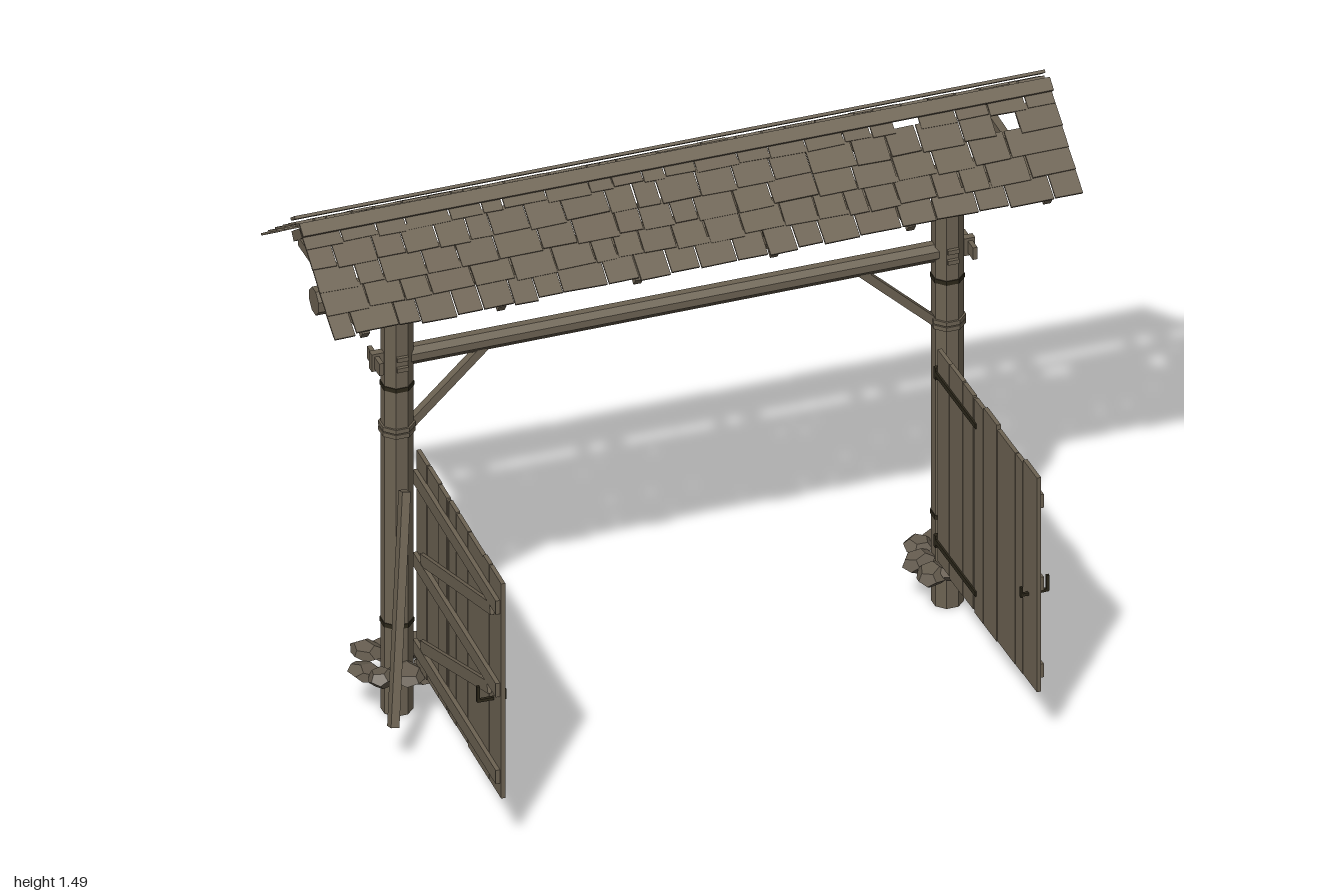
import * as THREE from 'three';
import { mergeGeometries } from 'three/addons/utils/BufferGeometryUtils.js';

export function createModel() {
  const model = new THREE.Group();
  model.name = 'timberGate';
  const mat = (name, color) => Object.assign(new THREE.MeshStandardMaterial({ color, flatShading: true }), { name });
  const wood = mat('weatheredWood', 0x6c6252);
  const stone = mat('stone', 0x645b4e);
  const iron = mat('darkIron', 0x2b2619);

  let seed = 7;
  const rnd = (a = 0, b = 1) => {
    seed = (seed * 16807) % 2147483647;
    return a + (b - a) * seed / 2147483647;
  };
  const V = (x, y, z) => new THREE.Vector3(x, y, z);
  const add = (parent, name, geos, material) => {
    const list = [].concat(geos).map(g => (g.index ? g.toNonIndexed() : g));
    const m = new THREE.Mesh(list.length > 1 ? mergeGeometries(list) : list[0], material);
    m.name = name;
    parent.add(m);
    return m;
  };
  const box = (w, h, d, x, y, z) => new THREE.BoxGeometry(w, h, d).translate(x, y, z);
  // Straight timber from a to b
  const bar = (a, b, w, h, up = V(0, 1, 0)) => {
    const q = new THREE.Matrix4().lookAt(b, a, up);
    const mid = a.clone().add(b).multiplyScalar(0.5);
    return new THREE.BoxGeometry(w, h, a.distanceTo(b)).applyMatrix4(q).translate(mid.x, mid.y, mid.z);
  };
  const log = (r, len) => new THREE.CylinderGeometry(r, r, len, 8).rotateY(Math.PI / 8);
  const Z = -0.22;

  // Long beams
  add(model, 'topBeam', log(0.037, 1.9).rotateZ(Math.PI / 2).translate(0, 1.243, Z), wood);
  add(model, 'crossBeam', [
    log(0.026, 1.44).rotateZ(Math.PI / 2).translate(0, 1.035, Z),
    box(1.6, 0.05, 0.02, 0, 1.033, Z),
  ], wood);

  for (const s of [1, -1]) {
    const side = new THREE.Group();
    side.name = s > 0 ? 'leftSide' : 'rightSide';
    model.add(side);
    const x = s * 0.73;

    // Post with bands, rope collar, wedge and brace
    add(side, 'post', log(0.041, 1.21).translate(x, 0.605, Z), wood);
    add(side, 'postBands', [0.957, 0.262].map(y => log(0.0435, 0.012).translate(x, y, Z)), iron);
    add(side, 'collar', [0.823, 0.838].map(y => log(0.0465, 0.012).translate(x, y, Z)), wood);
    add(side, 'wedges', [
      box(0.012, 0.035, 0.09, s * 0.787, 1.033, Z),
      box(0.03, 0.012, 0.094, x, 1.05, Z), box(0.03, 0.012, 0.094, x, 1.02, Z),
    ], wood);
    add(side, 'brace', bar(V(s * 0.695, 0.83, Z), V(s * 0.50, 1.015, Z), 0.022, 0.022, V(0, 0, 1)), wood);

    // Ring of flat rocks
    const rocks = [];
    for (let i = 0; i < 8; i++) {
      const a = i / 8 * Math.PI * 2 + rnd(-0.15, 0.15), r = rnd(0.07, 0.09);
      rocks.push(new THREE.DodecahedronGeometry(1, 0)
        .rotateX(rnd(0, 3)).rotateY(rnd(0, 3))
        .scale(rnd(0.04, 0.05), rnd(0.02, 0.03), rnd(0.035, 0.05))
        .rotateZ(rnd(-0.25, 0.25)).rotateY(-a)
        .translate(x + Math.cos(a) * r, rnd(0.12, 0.143), Z + Math.sin(a) * r));
    }
    add(side, 'baseRocks', rocks, stone);

    // Open door, swung forward from the post
    const door = new THREE.Group();
    door.name = 'door';
    door.position.set(s * 0.69, 0, -0.17);
    door.rotation.y = s * 0.03;
    side.add(door);
    const edges = [0, 0.08, 0.17, 0.238, 0.25, 0.31, 0.40, 0.52, 0.57, 0.665];
    add(door, 'boards', edges.slice(1).map((e, i) => {
      const lo = rnd(0.149, 0.156), hi = rnd(0.772, 0.786);
      return box(0.011, hi - lo, e - edges[i] - 0.003, rnd(-0.001, 0.001), (lo + hi) / 2, (e + edges[i]) / 2);
    }), wood);
    const bx = s * 0.011;
    add(door, 'battens', [0.708, 0.465, 0.21].map(y => box(0.012, 0.04, 0.65, bx, y, 0.33)), wood);
    add(door, 'doorBraces', [
      bar(V(bx, 0.676, 0.605), V(bx, 0.495, 0.06), 0.01, 0.033),
      bar(V(bx, 0.433, 0.585), V(bx, 0.24, 0.06), 0.01, 0.033),
    ], wood);
    add(door, 'hinges', [0.705, 0.212].flatMap(y => [
      box(0.005, 0.014, 0.27, -s * 0.008, y, 0.13),
      box(0.014, 0.035, 0.012, -s * 0.004, y, -0.005),
    ]), iron);
    add(door, 'latch', [
      box(0.075, 0.008, 0.008, s * 0.012, 0.412, 0.605),
      box(0.008, 0.045, 0.008, s * 0.047, 0.432, 0.605),
      box(0.006, 0.03, 0.008, -s * 0.023, 0.42, 0.605),
    ], iron);
  }

  // Hanging ring and loose plank
  add(model, 'postRing', new THREE.TorusGeometry(0.04, 0.004, 6, 20).translate(0.755, 0.462, -0.172), iron);
  add(model, 'ringStaple', box(0.012, 0.012, 0.02, 0.745, 0.503, -0.176), iron);
  add(model, 'leaningPlank', bar(V(-0.835, 0.12, 0.04), V(-0.735, 0.68, -0.15), 0.03, 0.022, V(1, 0, 0)), wood);

  // Roof: trusses, shingles and ridge boards
  const roof = new THREE.Group();
  roof.name = 'roof';
  model.add(roof);
  const trussX = [-0.905, -0.543, -0.181, 0.181, 0.543, 0.905];
  add(roof, 'tieBeams', trussX.map(x => box(0.02, 0.026, 0.42, x, 1.289, Z)), wood);
  for (const front of [true, false]) {
    const slope = new THREE.Group();
    slope.name = front ? 'frontSlope' : 'backSlope';
    slope.position.set(0, 1.494, Z);
    slope.rotation.set(0.636, front ? 0 : Math.PI, 0, 'YXZ');
    roof.add(slope);
    add(slope, 'rafters', trussX.map(x => box(0.02, 0.026, 0.325, x, -0.025, 0.165)), wood);
    const shingles = [];
    for (let r = 0; r < 5; r++) {
      const end = 0.33 - r * 0.062;
      for (let x = -0.995; x < 0.99;) {
        let w = rnd(0.055, 0.12);
        if (0.995 - x - w < 0.04) w = 0.995 - x;
        const cx = x + w / 2;
        const missing = front && ((r === 4 && Math.abs(cx - 0.6) < 0.045) || (r === 3 && Math.abs(cx - 0.86) < 0.045));
        const e = end + rnd(-0.006, 0.004), len = (r === 4 ? 0.058 : 0.077) + e - end;
        if (!missing) shingles.push(new THREE.BoxGeometry(w - rnd(0.002, 0.006), 0.006, len)
          .rotateX(-0.05 + rnd(-0.02, 0.02)).rotateY(rnd(-0.02, 0.02))
          .translate(cx, -0.006 + rnd(-0.001, 0.001), e - len / 2));
        x += w;
      }
    }
    add(slope, 'shingles', shingles, wood);
    add(slope, 'ridgeBoard', box(1.99, 0.008, 0.036, 0, 0.005, 0.034), wood);
  }
  return model;
}
